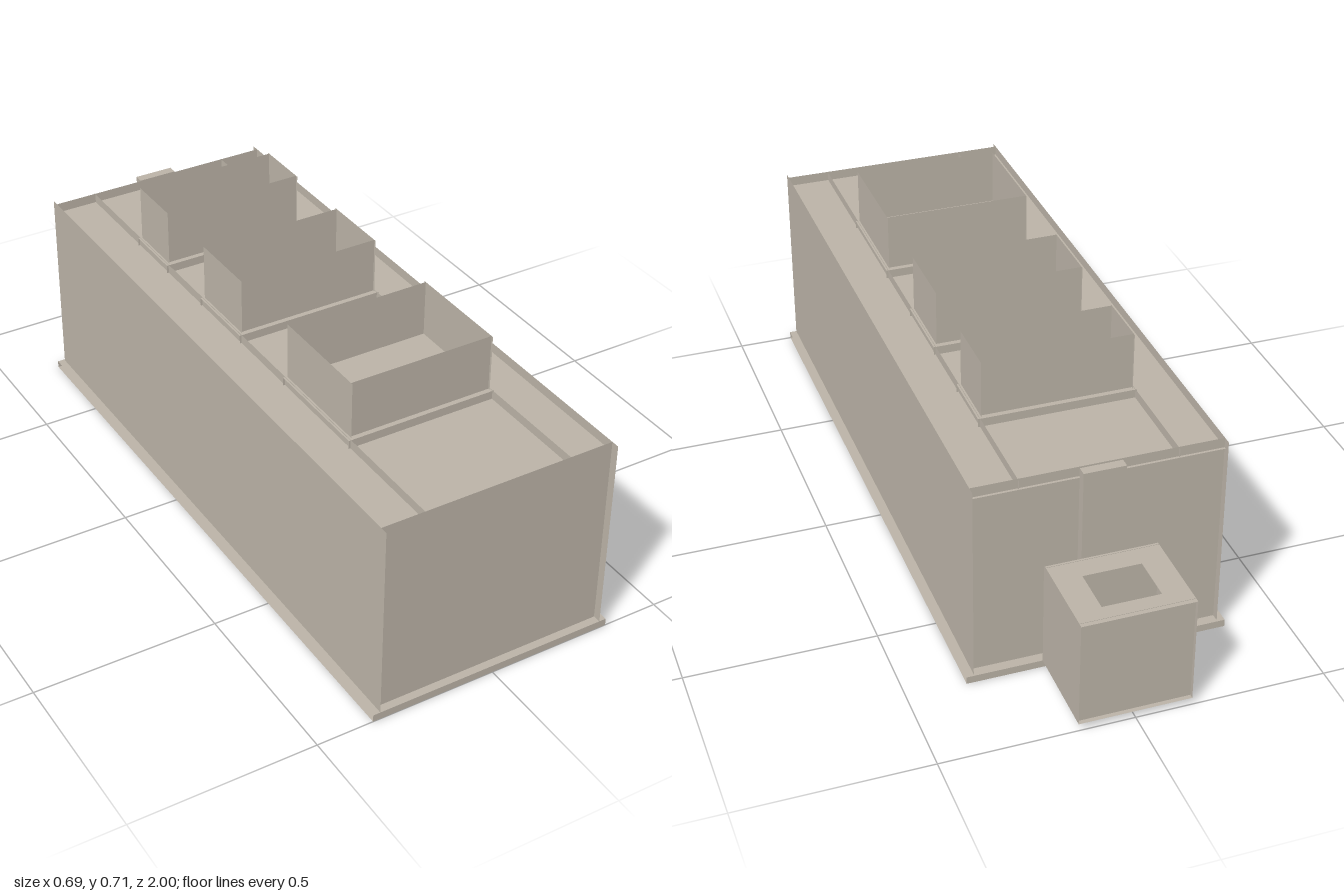
import * as THREE from 'three';

const concrete = new THREE.MeshStandardMaterial({ color: 0xbab2a6, side: THREE.DoubleSide });
concrete.name = 'concrete';

export function createModel() {
  const model = new THREE.Group();
  model.name = 'building';

  function add(parent, name, geometry) {
    const mesh = new THREE.Mesh(geometry, concrete);
    mesh.name = name;
    parent.add(mesh);
    return mesh;
  }
  // Flat panels: facing z, facing x and lying flat
  function panelZ(parent, name, x0, x1, y0, y1, z) {
    add(parent, name, new THREE.PlaneGeometry(x1 - x0, y1 - y0))
      .position.set((x0 + x1) / 2, (y0 + y1) / 2, z);
  }
  function panelX(parent, name, x, y0, y1, z0, z1) {
    const mesh = add(parent, name, new THREE.PlaneGeometry(z1 - z0, y1 - y0));
    mesh.rotation.y = Math.PI / 2;
    mesh.position.set(x, (y0 + y1) / 2, (z0 + z1) / 2);
  }
  function panelY(parent, name, x0, x1, y, z0, z1) {
    const mesh = add(parent, name, new THREE.PlaneGeometry(x1 - x0, z1 - z0));
    mesh.rotation.x = -Math.PI / 2;
    mesh.position.set((x0 + x1) / 2, y, (z0 + z1) / 2);
  }

  // Four thin walls; the end walls sit slightly inside the side walls
  function walls(name, hx, y0, y1, z0, z1, inset) {
    const group = new THREE.Group();
    group.name = name;
    for (const s of [-1, 1]) panelX(group, 'sideWall', s * hx, y0, y1, z0, z1);
    panelZ(group, 'frontWall', -hx, hx, y0, y1, z1 - inset);
    panelZ(group, 'backWall', -hx, hx, y0, y1, z0 + inset);
    model.add(group);
    return group;
  }

  // Main hall: projecting floor, walls and a roof sunk behind the parapet
  const hall = walls('hall', 0.325, 0.02, 0.562, -0.745, 1, 0.022);
  panelY(hall, 'floorUnderside', -0.345, 0.345, 0, -0.75, 1);
  panelY(hall, 'floorTop', -0.345, 0.345, 0.02, -0.75, 1);
  for (const z of [-0.75, 1]) panelZ(hall, 'floorEdge', -0.345, 0.345, 0, 0.02, z);
  panelY(hall, 'roof', -0.325, 0.325, 0.535, -0.73, 0.978);
  for (const s of [-1, 1]) panelX(hall, 'roofRail', s * 0.205, 0.535, 0.56, -0.73, 0.978);

  // Open roof boxes on low curbs
  for (const [z0, z1] of [[-0.44, -0.28], [-0.08, 0.12], [0.35, 0.65]]) {
    const box = walls('roofBox', 0.2, 0.56, 0.715, z0, z1, 0.006);
    panelY(box, 'curbTop', -0.21, 0.21, 0.558, z0 - 0.005, z1 + 0.005);
    for (const z of [z0 - 0.005, z1 + 0.005]) panelZ(box, 'curbEdge', -0.21, 0.21, 0.535, 0.558, z);
  }

  // Rear annex with a square opening in its lid
  const annex = walls('annex', 0.147, 0.02, 0.315, -1, -0.75, 0.012);
  panelY(annex, 'annexFloor', -0.147, 0.147, 0.02, -1, -0.75);
  const lid = new THREE.Shape([
    new THREE.Vector2(-0.147, 0.755), new THREE.Vector2(0.147, 0.755),
    new THREE.Vector2(0.147, 1), new THREE.Vector2(-0.147, 1)]);
  lid.holes.push(new THREE.Path([
    new THREE.Vector2(-0.078, 0.82), new THREE.Vector2(-0.078, 0.945),
    new THREE.Vector2(0.075, 0.945), new THREE.Vector2(0.075, 0.82)]));
  const lidMesh = add(annex, 'annexLid', new THREE.ShapeGeometry(lid));
  lidMesh.rotation.x = -Math.PI / 2;
  lidMesh.position.y = 0.314;

  // Flat pier on the back wall above the annex
  add(model, 'rearPier', new THREE.BoxGeometry(0.11, 0.54, 0.026)).position.set(-0.003, 0.291, -0.741);

  return model;
}
